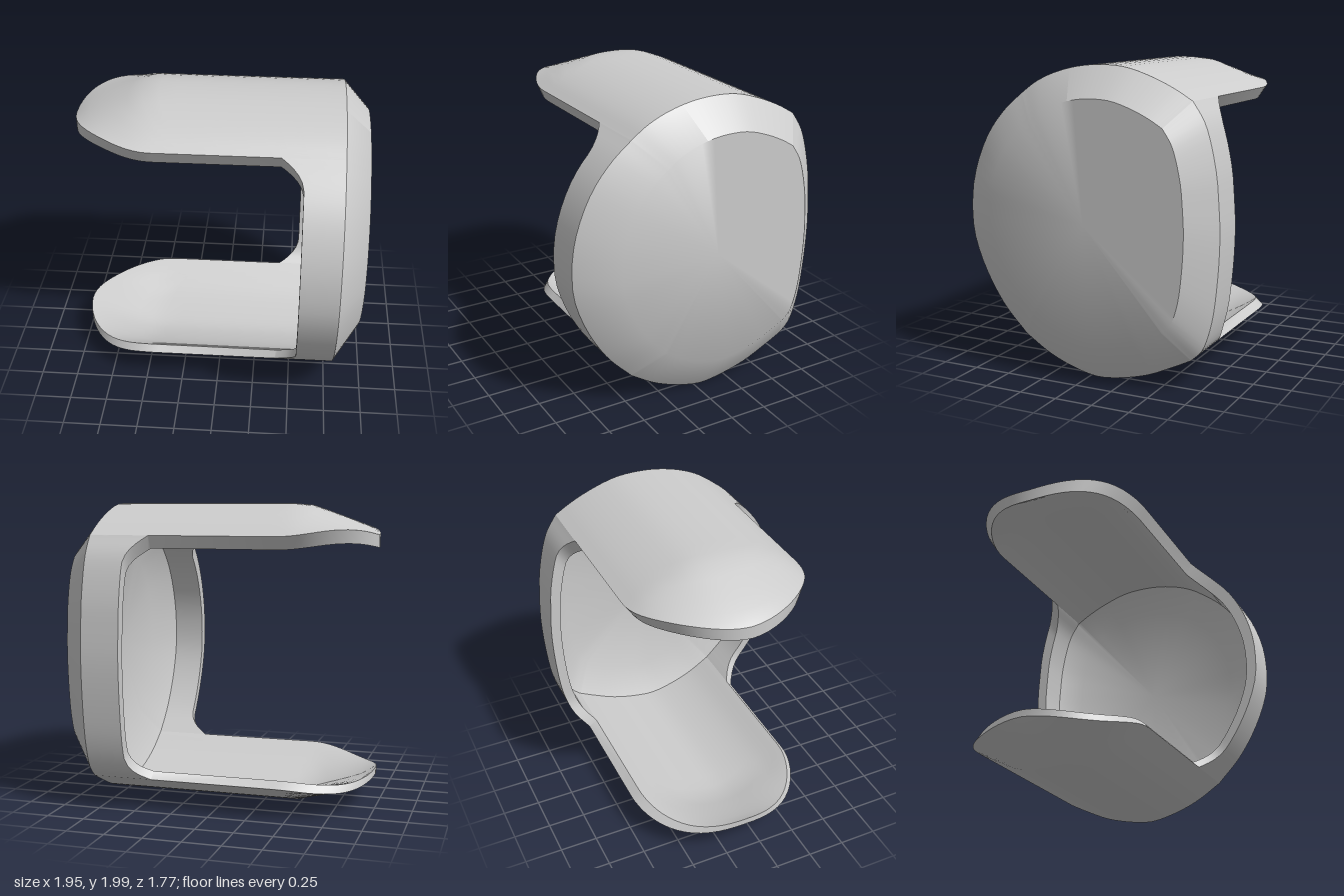
import * as THREE from 'three';
import { toCreasedNormals } from 'three/addons/utils/BufferGeometryUtils.js';

// Outline of the cup in [z, y], as four arcs that share their end points
const ARCS = [
  { tongue: true, pts: [[-0.70, 1.8], [-0.58, 1.87], [-0.42, 1.94], [-0.25, 1.99], [-0.08, 2], [0.08, 1.985], [0.25, 1.94], [0.38, 1.88], [0.48, 1.81]] },
  { tongue: false, pts: [[0.48, 1.81], [0.6, 1.71], [0.72, 1.57], [0.81, 1.4], [0.87, 1.2], [0.885, 1], [0.87, 0.85], [0.79, 0.63], [0.65, 0.4], [0.48, 0.22]] },
  { tongue: true, pts: [[0.48, 0.22], [0.3, 0.11], [0.12, 0.04], [-0.05, 0.005], [-0.2, 0.02], [-0.4, 0.07], [-0.57, 0.145], [-0.70, 0.21]] },
  { tongue: false, pts: [[-0.70, 0.21], [-0.77, 0.28], [-0.83, 0.45], [-0.865, 0.7], [-0.88, 1], [-0.87, 1.2], [-0.85, 1.4], [-0.78, 1.67], [-0.70, 1.8]] },
];
const SEGMENTS = 32, STEPS = 16, SHOULDER = 0.8, CAP = 0.97, FLOOR = 0.87;

// Columns around the cup: an outline point and the x where its wall starts
function makeColumns() {
  const columns = [];
  for (const { tongue, pts } of ARCS) {
    const curve = new THREE.CatmullRomCurve3(pts.map(([z, y]) => new THREE.Vector3(0, y, z)));
    const length = curve.getLength();
    for (let i = 0; i <= SEGMENTS; i++) {
      const t = (1 - Math.cos(Math.PI * i / SEGMENTS)) / 2;
      const { y, z } = curve.getPointAt(t);
      let start;
      if (tongue) {
        const u = (z + 0.11) / 0.59; // rounded tip
        start = -0.42 - 0.56 * Math.sqrt(Math.max(0, 1 - u * u));
      } else {
        const d = Math.min(t, 1 - t) * length; // fillet beside the tongue
        start = 0.545 - 0.145 * Math.max(0, 1 - d / 0.22) ** 2;
      }
      columns.push({ y, z, start });
    }
  }
  return columns;
}

// Flatten the tongue's arch towards its tip
function taper(y, x) {
  const f = Math.pow(THREE.MathUtils.clamp((x + 0.98) / 0.48, 0, 1), 0.8);
  if (y > 1.8) return 1.8 + (y - 1.8) * f;
  if (y < 0.2) return 0.2 + (y - 0.2) * f;
  return y;
}

const inset = ([x, y, z]) => [x, 0.98 + (y - 1) * 0.92, z * 0.92];

// One column of points from the open edge to the middle of the closed end
function columnPoints({ y, z, start }, endX, shoulderX) {
  const points = [];
  for (let j = 0; j <= STEPS; j++) {
    const x = start + (shoulderX - start) * Math.pow(j / STEPS, 1.4);
    points.push([x, taper(y, x), z]);
  }
  points.push([endX, 1.03 + (y - 1) * 0.775, -0.045 + z * 0.765]);
  points.push([endX, 1.03, -0.045]);
  return points;
}

// Join a grid of points into quads
function surface(name, grid, material, flip, skipSeams) {
  const position = [];
  const n = grid.length;
  for (let i = 0; i < n; i++) {
    if (skipSeams && i % (SEGMENTS + 1) === SEGMENTS) continue;
    const p = grid[i], q = grid[(i + 1) % n];
    for (let j = 0; j < p.length - 1; j++) {
      const [a, b, c, d] = flip
        ? [p[j], p[j + 1], q[j + 1], q[j]]
        : [p[j], q[j], q[j + 1], p[j + 1]];
      position.push(...a, ...b, ...c, ...a, ...c, ...d);
    }
  }
  const geometry = new THREE.BufferGeometry();
  geometry.setAttribute('position', new THREE.Float32BufferAttribute(position, 3));
  const mesh = new THREE.Mesh(toCreasedNormals(geometry, 0.7), material);
  mesh.name = name;
  return mesh;
}

export function createModel() {
  const group = new THREE.Group();
  group.name = 'cutAwayCup';
  const grey = new THREE.MeshStandardMaterial({ color: 0xcccccc });
  grey.name = 'light grey';

  const columns = makeColumns();
  const outer = columns.map((c) => columnPoints(c, CAP, SHOULDER));
  const inner = columns.map((c) => columnPoints(c, FLOOR, SHOULDER - 0.04).map(inset));
  // Edge strip between the walls, including the sides of both tongues
  const rim = columns.map((c, i) => [inner[i][0], outer[i][0]]);

  group.add(surface('outerShell', outer, grey, false, true));
  group.add(surface('innerShell', inner, grey, true, true));
  group.add(surface('rim', rim, grey, false, false));
  return group;
}
